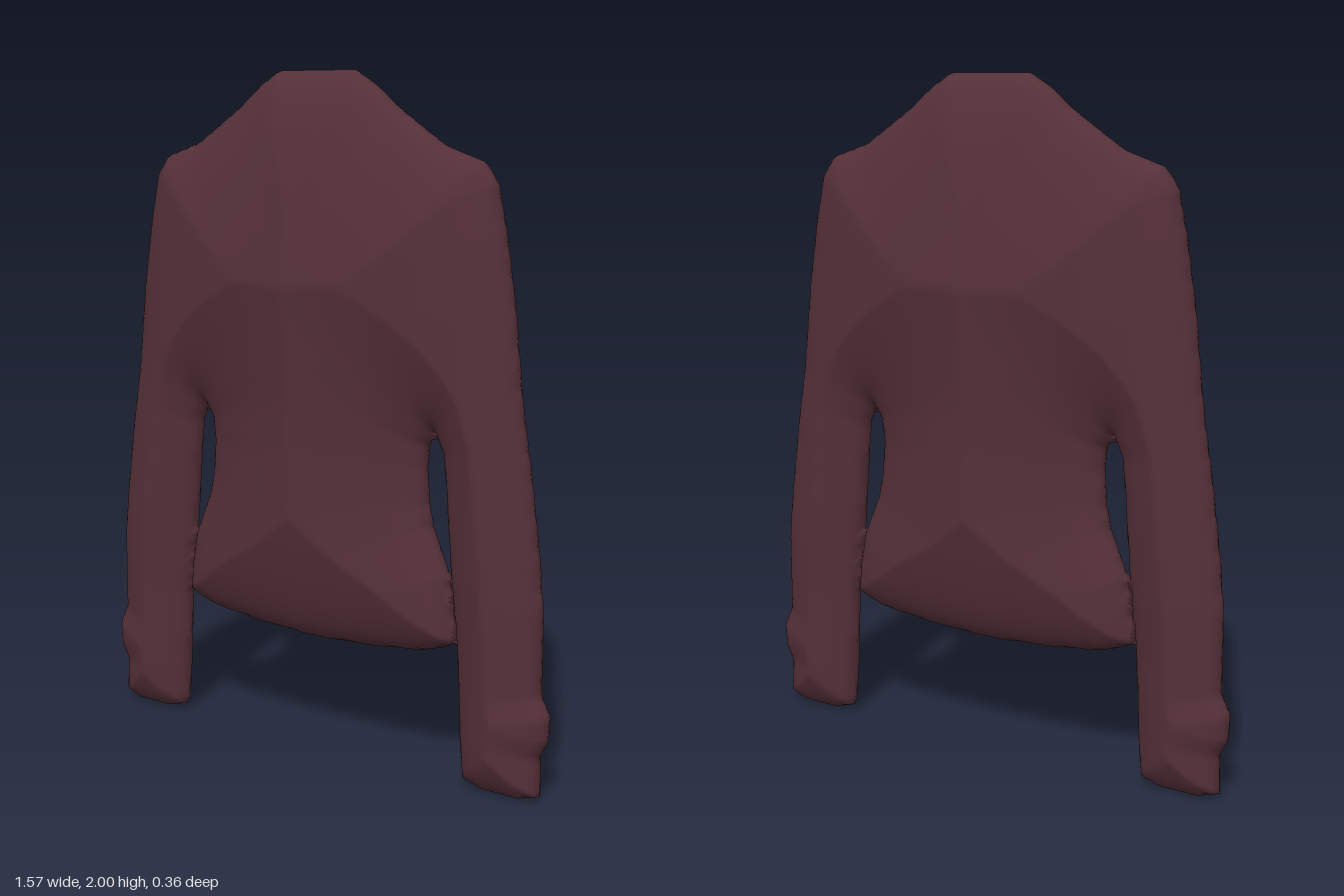
import * as THREE from 'three';

// Half outline of the jacket on the +x side, from the collar round to the hem
const HALF = [
  [0.13, 2.0], [0.19, 1.965], [0.27, 1.9], [0.36, 1.84], [0.43, 1.795], [0.55, 1.755], [0.59, 1.7], // collar, shoulder
  [0.62, 1.56], [0.65, 1.37], [0.68, 1.1], [0.71, 0.92], [0.74, 0.7], [0.755, 0.55], [0.755, 0.31], // outer sleeve
  [0.785, 0.25], [0.78, 0.18], [0.755, 0.13], [0.76, 0.02], [0.7, 0.0], [0.58, 0.0], [0.515, 0.02], // cuff
  [0.505, 0.15], [0.494, 0.38], [0.488, 0.45], [0.47, 0.6], [0.46, 0.72], [0.45, 0.85], [0.44, 0.95], // inner sleeve
  [0.412, 1.01], [0.385, 0.97], [0.377, 0.9], [0.385, 0.8], [0.4, 0.73], [0.43, 0.66], [0.455, 0.6], // armpit, waist
  [0.473, 0.5], [0.482, 0.41], [0.44, 0.39], [0.38, 0.37], [0.2, 0.35], [0.05, 0.342], // hem
];
const OUTLINE = [...HALF, ...HALF.map(([x, y]) => [-x, y]).reverse()];

// Nearest outline point, its distance, and whether (x, y) lies inside
function probe(x, y) {
  let best = { d: Infinity, x: 0, y: 0 };
  let inside = false;
  OUTLINE.forEach(([ax, ay], i) => {
    const [bx, by] = OUTLINE[(i + 1) % OUTLINE.length];
    const dx = bx - ax, dy = by - ay;
    const t = THREE.MathUtils.clamp(((x - ax) * dx + (y - ay) * dy) / (dx * dx + dy * dy), 0, 1);
    const px = ax + t * dx, py = ay + t * dy;
    const d = Math.hypot(x - px, y - py);
    if (d < best.d) best = { d, x: px, y: py };
    if ((ay > y) !== (by > y) && x < ax + ((y - ay) / dy) * dx) inside = !inside;
  });
  return { ...best, inside };
}

// Puffed cloth body: depth grows with the square root of the distance to the edge
function puffedGeometry() {
  const step = 0.0125, nx = 128, ny = 163;
  const positions = [], index = [], grid = [];
  const add = (x, y, z) => positions.push(x, y, z) / 3 - 1;
  for (let j = 0; j <= ny; j++) {
    for (let i = 0; i <= nx; i++) {
      const x = (i - nx / 2) * step, y = (j - 1.5) * step;
      const p = probe(x, y);
      if (p.inside) {
        const z = 0.243 * Math.sqrt(p.d);
        grid.push({ inside: true, front: add(x, y, z), back: add(x, y, -z) });
      } else {
        // points just outside slide onto the rim, shared by front and back
        const rim = p.d < step * 1.5 ? add(p.x, p.y, 0) : -1;
        grid.push({ inside: false, front: rim, back: rim });
      }
    }
  }
  const face = (a, b, c) => {
    if (!(a.inside || b.inside || c.inside)) return;
    index.push(a.front, b.front, c.front, a.back, c.back, b.back);
  };
  for (let j = 0; j < ny; j++) {
    for (let i = 0; i < nx; i++) {
      const k = j * (nx + 1) + i;
      const a = grid[k], b = grid[k + 1], c = grid[k + nx + 2], d = grid[k + nx + 1];
      // mirror the diagonals about the centre line
      if (i < nx / 2) { face(a, b, c); face(a, c, d); }
      else { face(a, b, d); face(b, c, d); }
    }
  }
  const geometry = new THREE.BufferGeometry();
  geometry.setAttribute('position', new THREE.Float32BufferAttribute(positions, 3));
  geometry.setIndex(index);
  geometry.computeVertexNormals();
  return geometry;
}

export function createModel() {
  const group = new THREE.Group();
  group.name = 'jacket';
  const cloth = new THREE.MeshStandardMaterial({ color: 0x553038, side: THREE.DoubleSide });
  cloth.name = 'maroon cloth';
  const body = new THREE.Mesh(puffedGeometry(), cloth);
  body.name = 'torsoAndSleeves';
  group.add(body);
  return group;
}
